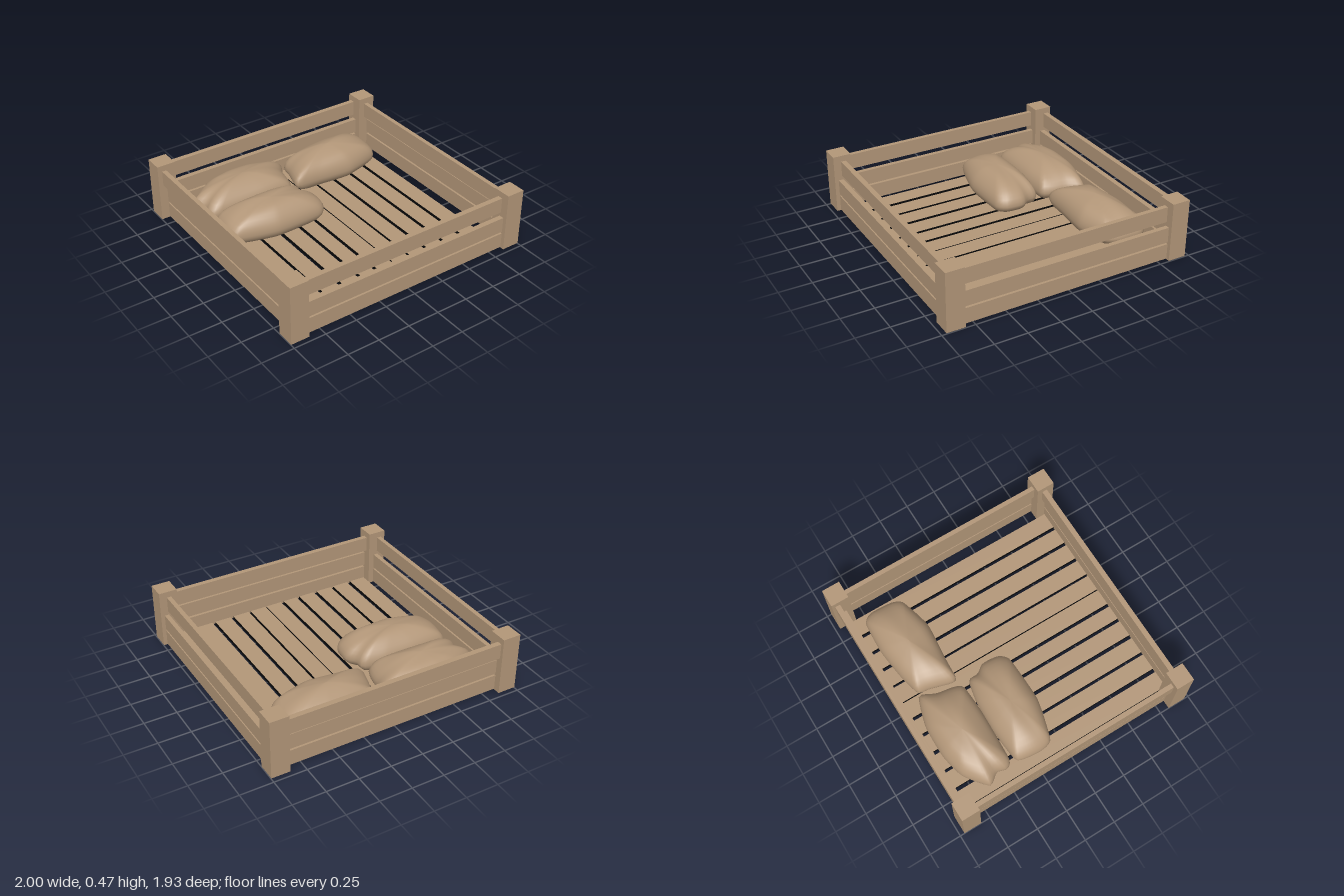
import * as THREE from 'three';

const wood = new THREE.MeshStandardMaterial({ color: 0xb29678 });
wood.name = 'light wood brown';
const black = new THREE.MeshStandardMaterial({ color: 0x080808 });
black.name = 'black slat edge';

function box(parent, name, x0, x1, y0, y1, z0, z1, material = wood) {
  const mesh = new THREE.Mesh(new THREE.BoxGeometry(x1 - x0, y1 - y0, z1 - z0), material);
  mesh.position.set((x0 + x1) / 2, (y0 + y1) / 2, (z0 + z1) / 2);
  mesh.name = name;
  parent.add(mesh);
}

// Plump cushion: a plan outline shrunk towards its middle at the top and bottom
function cushionGeometry(outline, phase) {
  const COLS = 72, ROWS = 20, MID = 0.15, ABOVE = 0.17, BELOW = 0.128;
  const curve = new THREE.CatmullRomCurve3(
    outline.map(([x, z]) => new THREE.Vector3(x, 0, z)), true, 'catmullrom', 0.25);
  const ring = curve.getSpacedPoints(COLS).slice(0, COLS);
  const centre = new THREE.Box3().setFromPoints(ring).getCenter(new THREE.Vector3());
  const pos = [], index = [];
  for (let r = 0; r <= ROWS; r++) {
    const a = (r / ROWS - 0.5) * Math.PI;
    const s = Math.max(Math.cos(a), 0);
    const rise = Math.sin(a);
    for (const p of ring) {
      const dx = (p.x - centre.x) * s, dz = (p.z - centre.z) * s;
      // soft folds running along the upper side
      const fold = 0.005 * Math.sin(dz * 34 + dx * 4 + phase) * Math.max(rise, 0);
      pos.push(centre.x + dx, MID + (rise > 0 ? ABOVE : BELOW) * rise + fold, centre.z + dz);
    }
  }
  for (let r = 0; r < ROWS; r++) {
    for (let c = 0; c < COLS; c++) {
      const a = r * COLS + c, b = r * COLS + (c + 1) % COLS;
      if (r > 0) index.push(a, a + COLS, b);
      if (r < ROWS - 1) index.push(b, a + COLS, b + COLS);
    }
  }
  const geo = new THREE.BufferGeometry();
  geo.setAttribute('position', new THREE.Float32BufferAttribute(pos, 3));
  geo.setIndex(index);
  geo.computeVertexNormals();
  return geo;
}

export function createModel() {
  const model = new THREE.Group();
  model.name = 'slattedPen';

  // Corner posts
  const posts = new THREE.Group();
  posts.name = 'cornerPosts';
  for (const sx of [-1, 1]) {
    for (const sz of [-1, 1]) {
      const x = sx * 0.928, z = sz * 0.894;
      box(posts, 'cornerPost', x - 0.072, x + 0.072, 0.005, 0.465, z - 0.071, z + 0.071);
    }
  }
  model.add(posts);

  // Two lower rails and a staggered top rail on every side
  const rails = new THREE.Group();
  rails.name = 'rails';
  const levels = [[0.01, 0.13, 0], [0.145, 0.265, 0], [0.297, 0.417, -0.03]];
  for (const [y0, y1, shift] of levels) {
    box(rails, 'frontRail', -0.87, 0.87, y0, y1, 0.895 + shift, 0.935 + shift);
    box(rails, 'backRail', -0.87, 0.87, y0, y1, -0.911 + shift, -0.871 + shift);
    box(rails, 'leftRail', 0.935 + shift, 0.97 + shift, y0, y1, -0.84, 0.84);
    box(rails, 'rightRail', -0.935 + shift, -0.9 + shift, y0, y1, -0.84, 0.84);
  }
  model.add(rails);

  // Floor slats with black long edges
  const floor = new THREE.Group();
  floor.name = 'floorSlats';
  const slatMaterials = [black, black, wood, wood, wood, wood];
  const starts = [-0.85, -0.685, -0.528, -0.365, -0.205, -0.06, 0.083, 0.235, 0.395, 0.555, 0.715];
  starts.forEach((x, i) => {
    box(floor, 'floorSlat', x, x + (i === 4 ? 0.12 : 0.135), 0, 0.025, -0.9, 0.9, slatMaterials);
  });
  model.add(floor);

  // Cushions, by their plan outlines
  const cushions = {
    backRightCushion: [[-0.83, -0.64], [-0.66, -0.775], [-0.47, -0.82], [-0.21, -0.815], [0.02, -0.74],
      [-0.03, -0.62], [-0.05, -0.5], [-0.09, -0.42], [-0.32, -0.405], [-0.73, -0.42], [-0.79, -0.47], [-0.77, -0.55]],
    backLeftCushion: [[-0.02, -0.465], [0.03, -0.64], [0.05, -0.73], [0.22, -0.775], [0.47, -0.805], [0.73, -0.79],
      [0.78, -0.72], [0.775, -0.55], [0.73, -0.465], [0.47, -0.395], [0.17, -0.42], [0, -0.43]],
    middleRightCushion: [[-0.805, -0.2], [-0.77, -0.38], [-0.5, -0.41], [-0.24, -0.4], [-0.07, -0.36],
      [-0.06, -0.28], [-0.01, -0.21], [-0.02, -0.08], [-0.09, -0.015], [-0.46, -0.005], [-0.77, -0.09]],
  };
  Object.entries(cushions).forEach(([name, outline], i) => {
    const mesh = new THREE.Mesh(cushionGeometry(outline, i * 2), wood);
    mesh.name = name;
    model.add(mesh);
  });

  return model;
}
